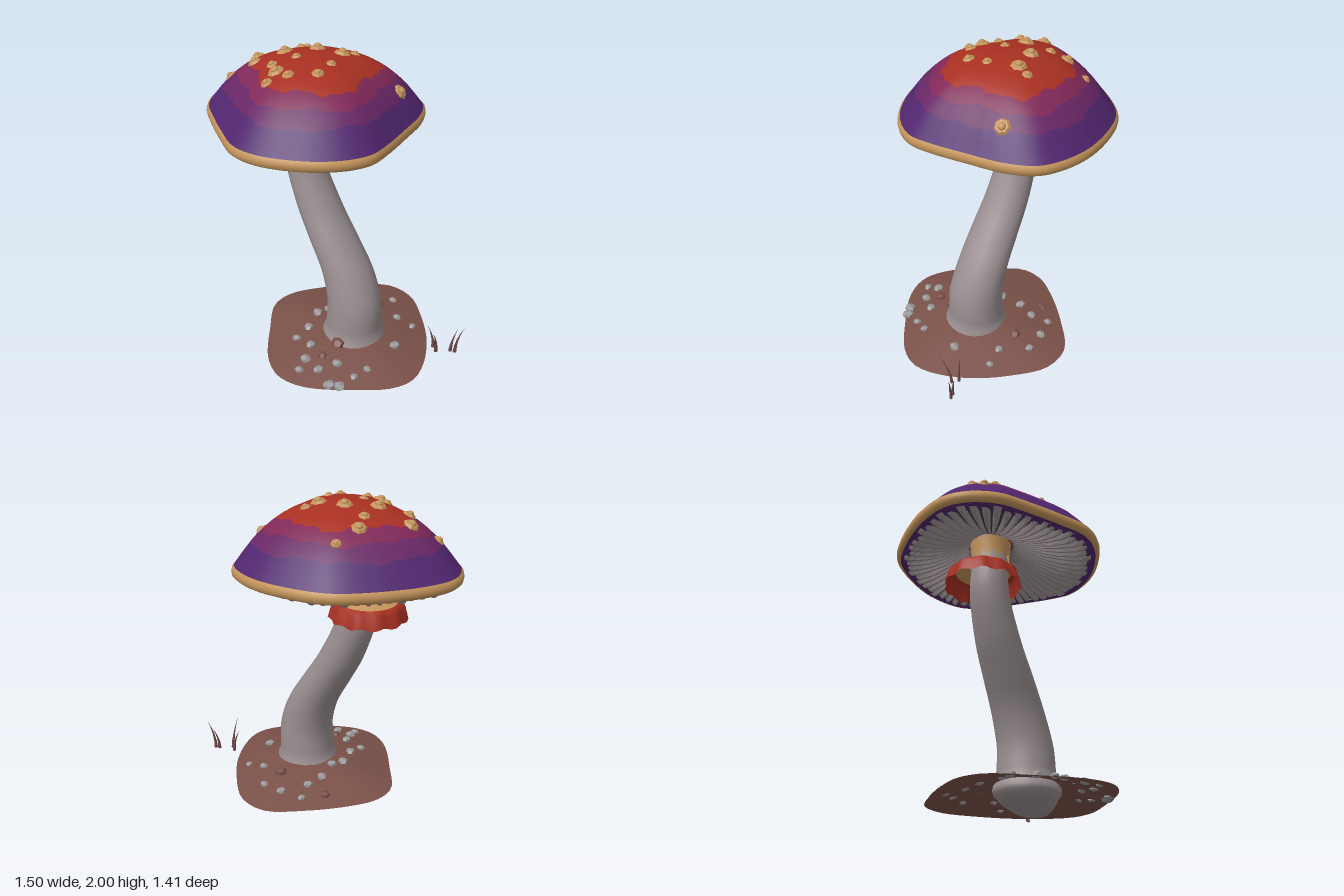
import * as THREE from 'three';
import { mergeGeometries } from 'three/addons/utils/BufferGeometryUtils.js';

const paint = (name, color) => {
  const m = new THREE.MeshStandardMaterial({ color, side: THREE.DoubleSide });
  m.name = name;
  return m;
};
const V = (x, y, z) => new THREE.Vector3(x, y, z);
const TAU = Math.PI * 2;

// Skins a stack of rings (listed from the top down); pick(row, column) chooses the material index.
function loft(rings, pick = () => 0, flat = false) {
  const n = rings[0].length, pos = [], buckets = [];
  rings.forEach(r => r.forEach(p => pos.push(p.x, p.y, p.z)));
  for (let i = 0; i < rings.length - 1; i++) {
    for (let j = 0; j < n; j++) {
      const a = i * n + j, b = i * n + (j + 1) % n, c = a + n, d = b + n;
      (buckets[pick(i, j)] ??= []).push(a, b, c, b, d, c);
    }
  }
  let g = new THREE.BufferGeometry();
  g.setAttribute('position', new THREE.Float32BufferAttribute(pos, 3));
  const index = [];
  buckets.forEach((list, m) => {
    g.addGroup(index.length, list.length, m);
    for (const k of list) index.push(k);
  });
  g.setIndex(index);
  if (flat) {
    const groups = g.groups;
    g = g.toNonIndexed();
    g.groups = groups;
  }
  g.computeVertexNormals();
  return g;
}

const ring = (n, fn) => Array.from({ length: n }, (_, j) => fn(j / n * TAU, j));

// Radius of a closed outline as a function of the angle around (cx, cz).
function outline(cx, cz, pts) {
  const curve = new THREE.CatmullRomCurve3(pts.map(([x, z]) => V(x - cx, 0, z - cz)), true);
  const table = curve.getPoints(720).map(p => [Math.atan2(p.z, p.x), Math.hypot(p.x, p.z)]);
  return a => {
    let best = 9, r = 0;
    for (const [b, s] of table) {
      const d = Math.abs(Math.atan2(Math.sin(a - b), Math.cos(a - b)));
      if (d < best) { best = d; r = s; }
    }
    return r;
  };
}

// Smooth height from a short list of [t, y] points.
function profile(pts) {
  return t => {
    let i = 0;
    while (i < pts.length - 2 && t > pts[i + 1][0]) i++;
    const slope = k => {
      const a = pts[Math.max(k - 1, 0)], b = pts[Math.min(k + 1, pts.length - 1)];
      return (b[1] - a[1]) / (b[0] - a[0]);
    };
    const [t0, y0] = pts[i], [t1, y1] = pts[i + 1], h = t1 - t0, s = (t - t0) / h;
    const m0 = i === 0 ? 0 : slope(i), m1 = slope(i + 1);
    return y0 * (1 + 2 * s) * (1 - s) ** 2 + m0 * h * s * (1 - s) ** 2
      + y1 * s * s * (3 - 2 * s) + m1 * h * s * s * (s - 1);
  };
}

export function createModel() {
  const model = new THREE.Group();
  const red = paint('cap red', 0xa83022), magenta = paint('cap magenta', 0x802858);
  const plum = paint('cap plum', 0x682766), purple = paint('cap purple', 0x51266f);
  const tan = paint('tan', 0xc4945a), flesh = paint('stem grey', 0x9a8f91);
  const shade = paint('gill gap dark', 0x453d45), soil = paint('soil', 0x7a5149);
  const stone = paint('pebble grey', 0x9c9a9a), dry = paint('dry grass', 0x6e4a46);
  const add = (name, geometry, material, parent = model) => {
    const m = new THREE.Mesh(geometry, material);
    m.name = name;
    parent.add(m);
    return m;
  };

  // Cap: domed skin in ragged colour bands, with a rolled tan rim
  const CX = -0.1, CZ = -0.06;
  const capR = outline(CX, CZ, [[-0.1, -0.71], [0.1, -0.685], [0.26, -0.59], [0.45, -0.4], [0.54, -0.22],
    [0.56, -0.08], [0.5, 0.08], [0.35, 0.28], [0.2, 0.46], [0.1, 0.55], [-0.05, 0.59], [-0.25, 0.57],
    [-0.5, 0.46], [-0.63, 0.32], [-0.69, 0.1], [-0.735, -0.15], [-0.75, -0.3], [-0.7, -0.48],
    [-0.6, -0.6], [-0.4, -0.68]]);
  const N = 144, radii = ring(N, a => capR(a));
  const capY = profile([[0, 1.98], [0.3, 1.958], [0.57, 1.888], [0.8, 1.765], [0.975, 1.622]]);
  const wobble = (a, s) => 0.018 * Math.sin(5 * a + s) + 0.014 * Math.sin(11 * a + 2 * s) + 0.009 * Math.sin(23 * a + s);
  const capRing = (t, y, amp = 0, s = 0) => ring(N, (a, j) => {
    const q = t + amp * wobble(a, s);
    return V(CX + Math.cos(a) * radii[j] * q, y ?? capY(q), CZ + Math.sin(a) * radii[j] * q);
  });
  const capRows = [[0], [0.12], [0.25], [0.38], [0.48, , 0.5], [0.57, , 1, 1], [0.64, , 0.8, 1.5], [0.7, , 0.7, 2],
    [0.76, , 0.6, 3], [0.82, , 0.5, 4], [0.9], [0.975, 1.622], [0.992, 1.612], [1, 1.592], [0.995, 1.57],
    [0.975, 1.557], [0.955, 1.553], [0.87, 1.545]];
  const band = i => i < 5 ? 0 : i < 7 ? 1 : i < 9 ? 2 : i < 11 ? 3 : i < 16 ? 4 : 3;
  add('cap', loft(capRows.map(r => capRing(...r)), band), [red, magenta, plum, purple, tan]);

  // Gills: corrugated underside with dark gaps between the ribs
  const GN = 58 * 4, gillR = ring(GN, a => capR(a));
  const gillRows = [[0.9, 1.548, 0], [0.87, 1.55, 0.024], [0.8, 1.552, 0.03], [0.65, 1.563, 0.032],
    [0.5, 1.582, 0.026], [0.35, 1.61, 0.016], [0.2, 1.65, 0]];
  const gillRings = gillRows.map(([t, y, d]) => ring(GN, (a, j) => {
    const inner = 1 - t, up = j % 4 === 1 || j % 4 === 2;
    const q = t + (t > 0.6 ? 0.02 * Math.sin(Math.floor(j / 4) * 2.4) : 0);
    return V(CX - 0.07 * inner + Math.cos(a) * gillR[j] * q, y - (up ? d : 0),
      CZ - 0.08 * inner + Math.sin(a) * gillR[j] * q);
  }));
  add('gills', loft(gillRings, (i, j) => j % 4 === 3 ? 1 : 0, true), [flesh, shade]);

  // Warts: low faceted discs with a round knob, set along the cap's slope
  const warts = new THREE.Group();
  warts.name = 'warts';
  model.add(warts);
  const surface = (x, z) => {
    const dx = x - CX, dz = z - CZ;
    return capY(Math.hypot(dx, dz) / capR(Math.atan2(dz, dx)));
  };
  const disc = new THREE.CylinderGeometry(0.62, 1, 0.42, 7).toNonIndexed();
  disc.computeVertexNormals();
  const knob = new THREE.SphereGeometry(0.42, 10, 6);
  knob.scale(1, 0.7, 1).translate(0, 0.22, 0);
  const wartGeometry = mergeGeometries([disc, knob.toNonIndexed()]);
  [[-0.59, -0.34, 0.045], [-0.42, -0.36, 0.057], [-0.11, -0.42, 0.055], [-0.16, -0.33, 0.042], [0.03, -0.49, 0.036],
    [-0.45, -0.22, 0.052], [-0.27, -0.21, 0.06], [-0.08, -0.19, 0.06], [0.05, -0.09, 0.058], [0.13, -0.12, 0.038],
    [-0.36, -0.06, 0.042], [-0.22, -0.07, 0.036], [-0.35, 0.04, 0.06], [-0.41, 0.11, 0.044], [-0.29, 0.12, 0.042],
    [-0.04, 0.07, 0.036], [-0.13, 0.16, 0.044], [0.36, 0.07, 0.058]].forEach(([x, z, r], k) => {
    const e = 0.03, normal = V(surface(x - e, z) - surface(x + e, z), 2 * e, surface(x, z - e) - surface(x, z + e));
    const w = add('wart', wartGeometry, tan, warts);
    w.position.set(x, surface(x, z), z);
    w.quaternion.setFromUnitVectors(V(0, 1, 0), normal.normalize());
    w.rotateY(k);
    w.scale.setScalar(r);
  });

  // Stem: leaning S-curve, rounded off below the soil. Rows are [y, x, z, radius]
  const stemRows = [[1.66, -0.17, -0.14, 0.115], [1.5, -0.175, -0.145, 0.115], [1.29, -0.175, -0.15, 0.122],
    [1, -0.1, -0.062, 0.142], [0.8, -0.025, 0.035, 0.155], [0.6, 0.05, 0.13, 0.165], [0.4, 0.085, 0.187, 0.175],
    [0.2, 0.083, 0.19, 0.183], [0.09, 0.075, 0.195, 0.183], [0.06, 0.09, 0.21, 0.16], [0.02, 0.13, 0.25, 0.1],
    [0.008, 0.14, 0.26, 0.06], [0.006, 0.14, 0.26, 0]];
  const centre = new THREE.CatmullRomCurve3(stemRows.map(([y, x, z]) => V(x, y, z)));
  const width = new THREE.CatmullRomCurve3(stemRows.map(r => V(r[3], 0, 0)));
  const S = 48;
  add('stem', loft(Array.from({ length: S + 1 }, (_, i) => {
    const c = centre.getPoint(i / S), r = Math.max(width.getPoint(i / S).x, 0);
    return ring(24, a => V(c.x + Math.cos(a) * r, c.y, c.z + Math.sin(a) * r));
  })), flesh);

  // Collar: torn tan sleeve where the stem meets the cap
  add('collar', loft([[1.64, 0.13, 0], [1.56, 0.122, 0], [1.52, 0.121, 0.025]].map(([y, r, d]) =>
    ring(24, (a, j) => V(-0.173 + Math.cos(a) * r, y + (j % 2 ? d : -d), -0.143 + Math.sin(a) * r)))), tan);

  // Skirt: fluted red ring hanging off the stem, with a tan inner lip
  const skirtRing = (y, r, wave) => ring(48, a => {
    const q = r + wave * Math.sin(11 * a), lift = wave * (1 + Math.sin(11 * a + 1.5));
    return V(-0.225 + Math.cos(a) * q, y + lift, -0.21 + Math.sin(a) * q);
  });
  const skirtRows = [[1.435, 0.09, 0], [1.43, 0.12, 0], [1.395, 0.172, 0], [1.395, 0.195, 0.003],
    [1.365, 0.215, 0.006], [1.29, 0.232, 0.008]];
  add('skirt', loft(skirtRows.map(r => skirtRing(...r)), i => i < 2 ? 0 : 1), [tan, red]);

  // Soil mound
  const GX = 0.05, GZ = 0.16;
  const soilR = outline(GX, GZ, [[0.59, 0], [0.56, 0.3], [0.46, 0.55], [0.36, 0.66], [0.22, 0.7], [0, 0.675],
    [-0.3, 0.6], [-0.45, 0.48], [-0.5, 0.3], [-0.46, 0], [-0.4, -0.25], [-0.28, -0.35], [-0.1, -0.385],
    [0.2, -0.38], [0.45, -0.33], [0.57, -0.18]]);
  const soilY = profile([[0, 0.185], [0.4, 0.163], [0.7, 0.122], [1, 0.08]]);
  add('soilMound', loft([0, 0.2, 0.4, 0.55, 0.7, 0.85, 1].map(t => ring(64, a =>
    V(GX + Math.cos(a) * soilR(a) * t, soilY(t), GZ + Math.sin(a) * soilR(a) * t)))), soil);

  // Pebbles and clods scattered on the mound: [x, z, size, isClod]
  const pebbles = new THREE.Group();
  pebbles.name = 'pebbles';
  model.add(pebbles);
  const pebble = new THREE.DodecahedronGeometry(1);
  [[-0.15, 0.62, 0.042], [-0.09, 0.64, 0.042], [0.32, 0.38, 0.036], [0.1, 0.55, 0.028], [-0.2, 0.5, 0.035],
    [-0.27, 0.4, 0.038], [-0.22, 0.3, 0.034], [-0.08, 0.48, 0.034], [0.01, 0.59, 0.028], [-0.3, 0.2, 0.03],
    [-0.21, 0.13, 0.036], [-0.05, -0.02, 0.034], [-0.13, 0, 0.038], [0.14, -0.18, 0.034], [0.04, -0.13, 0.036],
    [0.32, -0.2, 0.034], [0.42, -0.1, 0.03], [0.2, -0.28, 0.028], [0.4, 0.1, 0.03], [0.49, 0.18, 0.026],
    [-0.32, 0.47, 0.03], [-0.04, 0.33, 0.055, 1], [0.3, -0.03, 0.042, 1], [-0.16, 0.4, 0.034, 1],
    [0.05, -0.28, 0.034, 1]].forEach(([x, z, s, clod], k) => {
    const p = add(clod ? 'clod' : 'pebble', pebble, clod ? soil : stone, pebbles);
    const t = Math.hypot(x - GX, z - GZ) / soilR(Math.atan2(z - GZ, x - GX));
    p.position.set(x, soilY(Math.min(t, 1)) + s * 0.2, z);
    p.scale.set(s, s * 0.6, s * 0.85);
    p.rotation.y = k * 1.7;
  });

  // Grass: two tufts of bent, tapering blades
  const grass = new THREE.Group();
  grass.name = 'grass';
  model.add(grass);
  [[V(0.58, 0.1, 0.44), V(0.53, 0.31, 0.51)], [V(0.575, 0.1, 0.395), V(0.535, 0.27, 0.375)],
    [V(0.675, 0.1, 0.45), V(0.72, 0.27, 0.44)], [V(0.7, 0.1, 0.465), V(0.75, 0.31, 0.48)]].forEach(([base, tip]) => {
    const rings = [1, 0.75, 0.5, 0.25, 0].map(t => ring(5, a => V(
      base.x + (tip.x - base.x) * t * t + Math.cos(a) * 0.013 * (1 - t),
      base.y + (tip.y - base.y) * t,
      base.z + (tip.z - base.z) * t * t + Math.sin(a) * 0.011 * (1 - t))));
    add('grassBlade', loft(rings), dry, grass);
  });
  return model;
}
